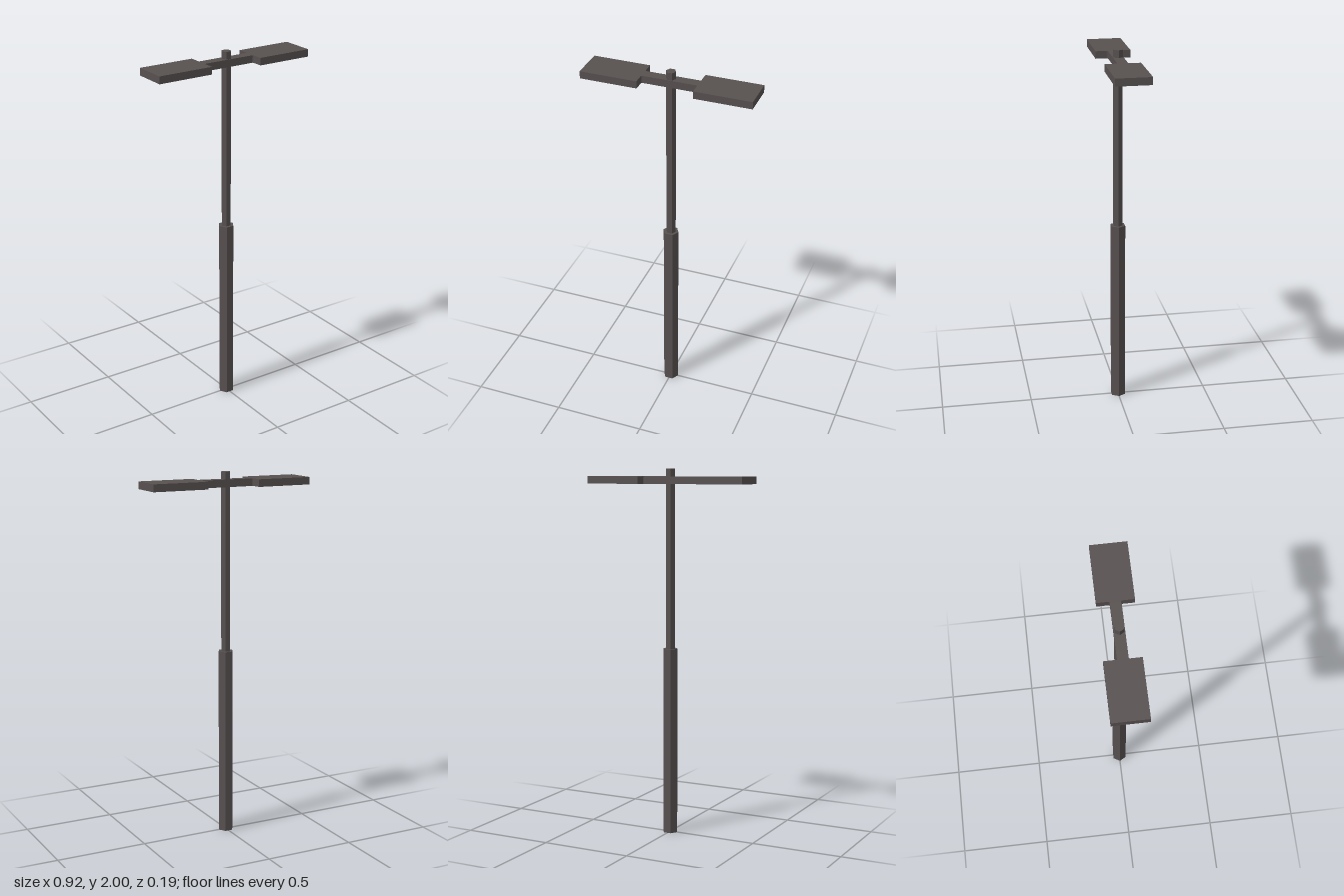
import * as THREE from 'three';

const metal = new THREE.MeshStandardMaterial({ color: 0x575150 });
metal.name = 'dark grey metal';

// Six-sided pole section with corners on the x axis
function hexPole(name, radius, y0, y1) {
  const geo = new THREE.CylinderGeometry(radius, radius, y1 - y0, 6).toNonIndexed();
  geo.rotateY(Math.PI / 6 + Math.PI / 3);
  geo.translate(0, (y0 + y1) / 2, 0);
  geo.computeVertexNormals();
  const mesh = new THREE.Mesh(geo, metal);
  mesh.name = name;
  return mesh;
}

// Outline of both lamp heads and the arm between them, in plan
function headOutline() {
  const arm = 0.028, inX = 0.15, outX = 0.46, w = 0.094, r = 0.006;
  const s = new THREE.Shape();
  s.moveTo(-inX + r, -arm);
  s.lineTo(inX - r, -arm);
  s.quadraticCurveTo(inX, -arm, inX, -arm - r);
  s.lineTo(inX, -w);
  s.lineTo(outX, -w);
  s.lineTo(outX, w);
  s.lineTo(inX, w);
  s.lineTo(inX, arm + r);
  s.quadraticCurveTo(inX, arm, inX - r, arm);
  s.lineTo(-inX + r, arm);
  s.quadraticCurveTo(-inX, arm, -inX, arm + r);
  s.lineTo(-inX, w);
  s.lineTo(-outX, w);
  s.lineTo(-outX, -w);
  s.lineTo(-inX, -w);
  s.lineTo(-inX, -arm - r);
  s.quadraticCurveTo(-inX, -arm, -inX + r, -arm);
  return s;
}

// Horizontal slab made from a plan shape
function slab(name, shape, y0, y1) {
  const geo = new THREE.ExtrudeGeometry(shape, { depth: y1 - y0, bevelEnabled: false, curveSegments: 3 });
  geo.rotateX(-Math.PI / 2);
  geo.translate(0, y0, 0);
  const mesh = new THREE.Mesh(geo, metal);
  mesh.name = name;
  return mesh;
}

export function createModel() {
  const model = new THREE.Group();
  model.name = 'streetLamp';

  // Thick base and slim upper pole
  model.add(hexPole('lowerPole', 0.043, 0, 1.03));
  model.add(hexPole('upperPole', 0.027, 1.03, 2));

  // Twin head: solid top with a rim around each shallow recess below
  const head = new THREE.Group();
  head.name = 'lampHead';
  const rim = headOutline();
  for (const side of [-1, 1]) {
    const cx = side * 0.305, hx = 0.135, hz = 0.074;
    const hole = new THREE.Path();
    hole.moveTo(cx - hx, -hz);
    hole.lineTo(cx - hx, hz);
    hole.lineTo(cx + hx, hz);
    hole.lineTo(cx + hx, -hz);
    hole.closePath();
    rim.holes.push(hole);
  }
  head.add(slab('headTop', headOutline(), 1.93, 1.96));
  head.add(slab('headRim', rim, 1.92, 1.93));
  model.add(head);

  return model;
}
